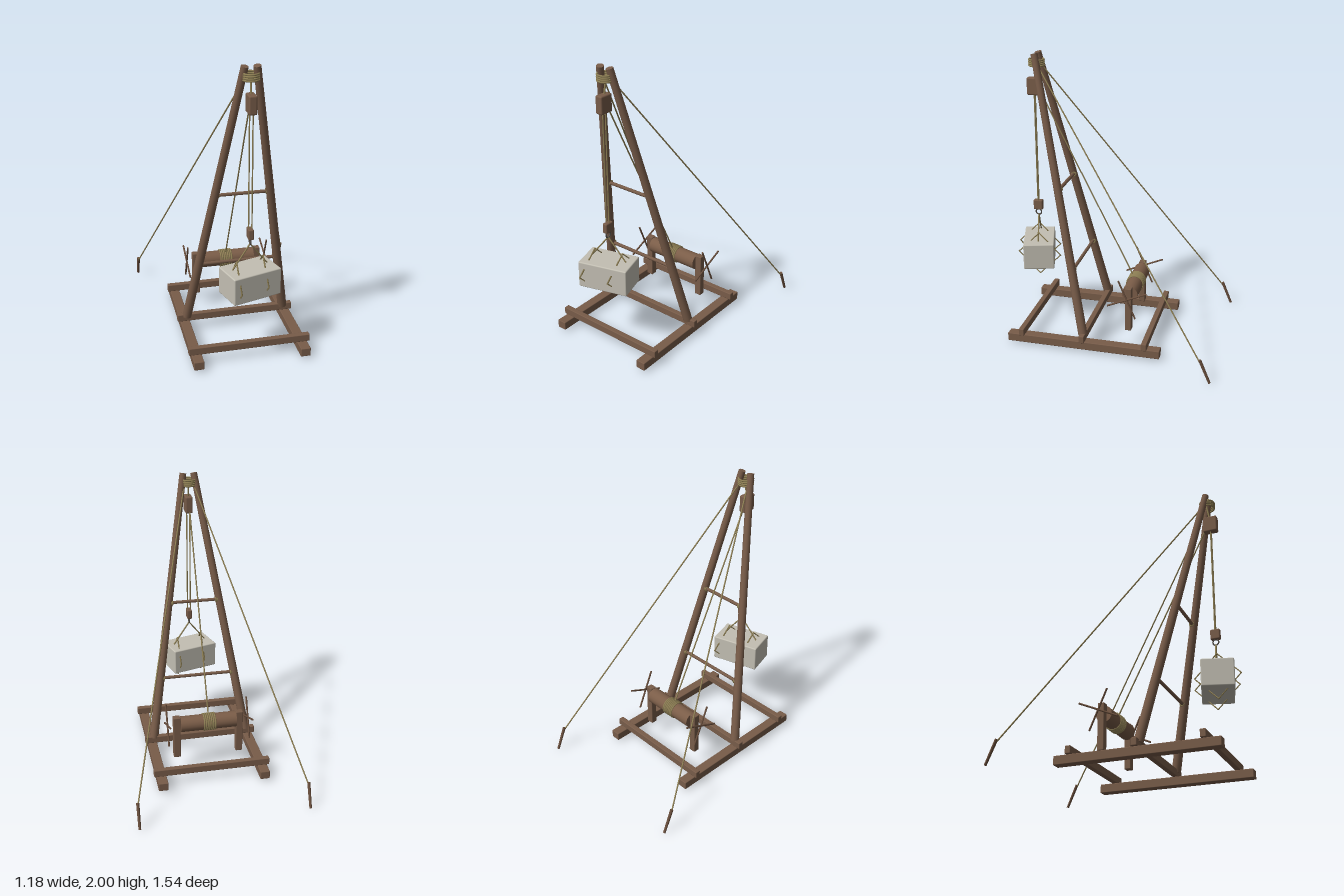
import * as THREE from 'three';
import { RoundedBoxGeometry } from 'three/addons/geometries/RoundedBoxGeometry.js';

const material = (name, color) => {
  const m = new THREE.MeshStandardMaterial({ color });
  m.name = name;
  return m;
};

export function createModel() {
  const timber = material('timber', 0x785c49);
  const drumWood = material('drum wood', 0x7b5d48);
  const darkWood = material('dark wood', 0x6a4f3d);
  const rope = material('rope', 0x8f8055);
  const iron = material('iron', 0x55504a);
  const stone = material('stone', 0xc3bfb3);

  const model = new THREE.Group();
  model.name = 'timberHoist';

  const add = (name, geometry, mat, x = 0, y = 0, z = 0) => {
    const mesh = new THREE.Mesh(geometry, mat);
    mesh.name = name;
    mesh.position.set(x, y, z);
    model.add(mesh);
    return mesh;
  };
  const beam = (name, w, h, d, x, y, z, mat = timber, r = 0.005) =>
    add(name, new RoundedBoxGeometry(w, h, d, 2, r), mat, x, y, z);

  // Round bar between two points
  const bar = (name, from, to, r0, r1, mat, sides = 8) => {
    const a = new THREE.Vector3(...from), b = new THREE.Vector3(...to);
    const dir = b.clone().sub(a);
    const mesh = add(name, new THREE.CylinderGeometry(r1, r0, dir.length(), sides), mat);
    mesh.position.copy(a).add(b).multiplyScalar(0.5);
    mesh.quaternion.setFromUnitVectors(new THREE.Vector3(0, 1, 0), dir.normalize());
    return mesh;
  };
  // Ring whose axis runs along x
  const ringX = (name, r, tube, x, y, z, mat = rope, segments = 24) => {
    const mesh = add(name, new THREE.TorusGeometry(r, tube, 6, segments), mat, x, y, z);
    mesh.rotation.y = Math.PI / 2;
    return mesh;
  };

  // Ground frame
  for (const s of [-1, 1]) beam('groundRail', 0.068, 0.06, 1.087, s * 0.363, 0.05, 0.158);
  for (const z of [0.595, 0.16, -0.28]) beam('crossBeam', 0.83, 0.052, 0.038, 0, 0.105, z);

  // Leaning legs, meeting at the top
  const foot = [0.348, 0.115, 0.165], head = [0.038, 2.0, 0.562];
  const legAt = (y) => {
    const t = (y - foot[1]) / (head[1] - foot[1]);
    return foot.map((v, i) => v + (head[i] - v) * t);
  };
  for (const s of [-1, 1]) {
    bar('leg', [s * foot[0], foot[1], foot[2]], [s * head[0], 1.997, head[2]], 0.032, 0.024, timber, 14);
  }

  // Rungs with lashed ends
  for (const y of [0.56, 1.105]) {
    const [x, , legZ] = legAt(y);
    const z = legZ - 0.005;
    bar('rung', [-x, y, z], [x, y, z], 0.012, 0.012, timber);
    for (const s of [-1, 1]) for (const k of [0.016, 0.026])
      ringX('rungLashing', 0.015, 0.005, s * (x - k), y, z - 0.003, rope, 12);
  }

  // Head lashing
  for (let i = 0; i < 4; i++) {
    const ring = add('headLashing', new THREE.TorusGeometry(0.05, 0.0065, 6, 24), rope, 0, 1.914 + i * 0.013, 0.56);
    ring.rotation.x = Math.PI / 2;
  }

  // Pulley blocks, falls and hook ring
  beam('upperBlock', 0.052, 0.12, 0.098, 0, 1.77, 0.58, timber, 0.01);
  beam('lowerBlock', 0.036, 0.072, 0.066, 0, 0.915, 0.58, timber, 0.008);
  bar('blockStrop', [0, 1.82, 0.575], [0, 1.93, 0.555], 0.006, 0.006, rope);
  for (const s of [-1, 1]) bar('hoistRope', [s * 0.011, 0.94, 0.58], [s * 0.011, 1.72, 0.58], 0.0045, 0.0045, rope);
  ringX('hookRing', 0.02, 0.005, 0, 0.86, 0.58, iron);

  // Stone load with rope slings
  const load = beam('stoneLoad', 0.346, 0.187, 0.216, 0, 0.58, 0.582, stone, 0.008);
  load.rotation.y = 0.285;
  for (const s of [-1, 1]) {
    const z = 0.58 - s * 0.03;
    ringX('slingBand', 0.155, 0.0055, s * 0.095, 0.58, z, rope, 4);
    bar('slingRope', [0, 0.842, 0.58], [s * 0.122, 0.68, z], 0.005, 0.005, rope);
  }

  // Winch: posts, drum, rope coils and crossed hand bars
  const wy = 0.388, wz = -0.133;
  for (const s of [-1, 1]) {
    beam('winchPost', 0.05, 0.32, 0.045, s * 0.225, 0.29, wz);
    for (const a of [0.41, 0.41 + Math.PI / 2]) {
      const dy = Math.sin(a) * 0.149, dz = -Math.cos(a) * 0.149;
      bar('handBar', [s * 0.29, wy - dy, wz - dz], [s * 0.29, wy + dy, wz + dz], 0.0065, 0.0065, darkWood);
    }
  }
  bar('winchDrum', [-0.2, wy, wz], [0.2, wy, wz], 0.056, 0.056, drumWood, 20);
  for (let i = 0; i < 7; i++) ringX('drumCoil', 0.058, 0.0062, -0.045 + i * 0.013, wy, wz);
  bar('haulingRope', [-0.006, 0.43, -0.115], [-0.004, 1.75, 0.55], 0.005, 0.005, rope);

  // Guy ropes and ground stakes
  for (const s of [-1, 1]) {
    bar('guyRope', [s * 0.03, 1.93, 0.55], [s * 0.58, 0.15, -0.69], 0.005, 0.005, rope);
    bar('groundStake', [s * 0.58, 0.008, -0.757], [s * 0.58, 0.17, -0.688], 0.009, 0.011, darkWood);
  }

  return model;
}
